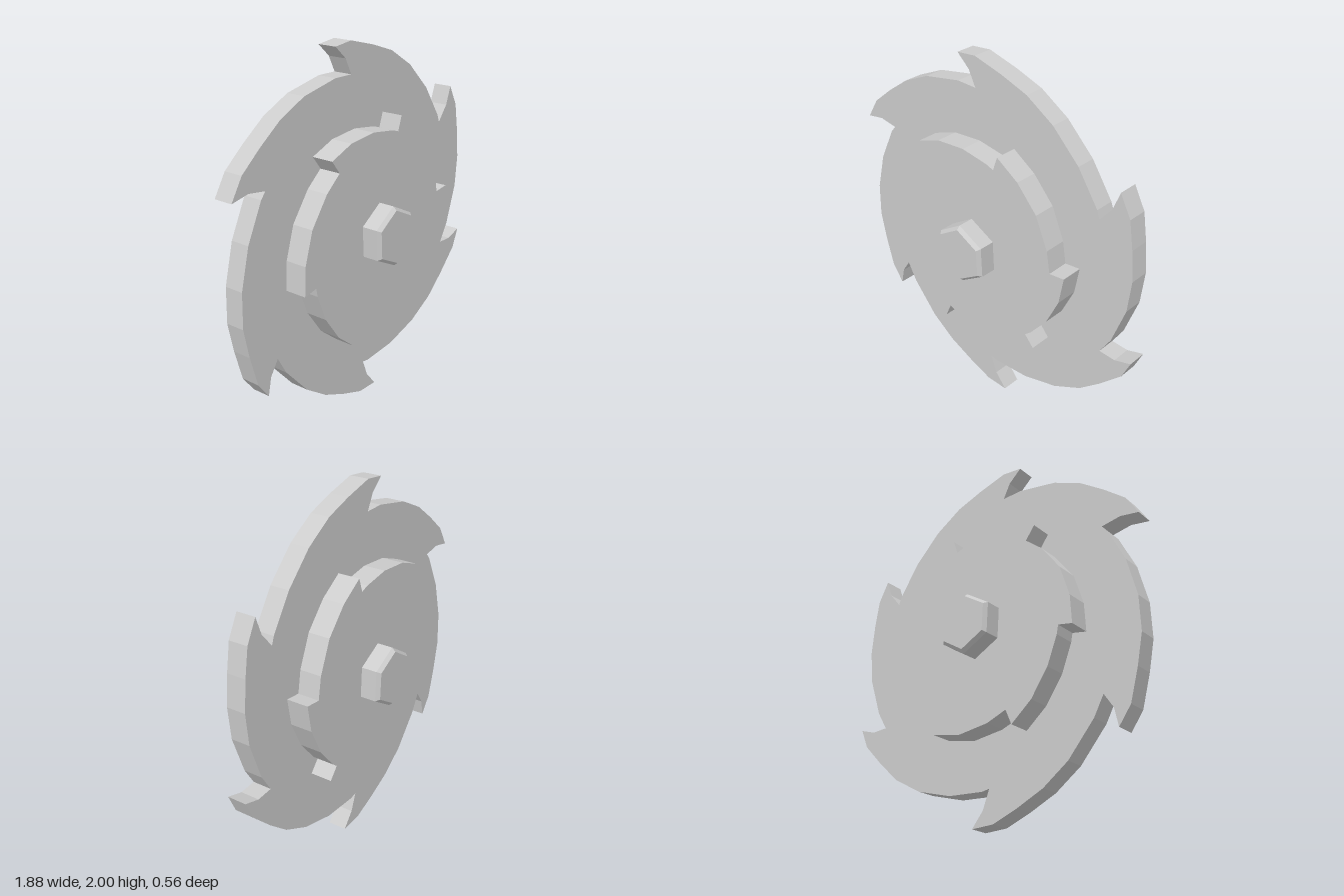
import * as THREE from 'three';

// One third of the blade outline: two hooked teeth, running clockwise
const BLADE = [
  [-0.207, 0.982], [-0.09, 0.995], [0.085, 0.95], [0.244, 0.897], [0.408, 0.797],
  [0.567, 0.643], [0.689, 0.463], [0.705, 0.42], [0.774, 0.505],
  [0.811, 0.606], [0.874, 0.489], [0.9, 0.335], [0.917, 0.166], [0.9, -0.015],
  [0.825, -0.235], [0.763, -0.338], [0.858, -0.343],
];

// One third of the hub outline: two shallow ratchet steps
const HUB = [
  [0.17, 0.59], [0.302, 0.505], [0.424, 0.373], [0.498, 0.203], [0.519, 0.081],
  [0.609, 0.092], [0.583, -0.062], [0.509, -0.221], [0.408, -0.348], [0.371, -0.38],
];

// Repeats a sector clockwise around the axle to close the outline
function repeatAround(sector, count) {
  const centre = new THREE.Vector2();
  const points = [];
  for (let i = 0; i < count; i++) {
    for (const [x, y] of sector) {
      points.push(new THREE.Vector2(x, y).rotateAround(centre, -i * 2 * Math.PI / count));
    }
  }
  return new THREE.Shape(points);
}

// Plate centred on z = 0, with an optional chamfer inside its outline
function plate(name, shape, thickness, chamfer = 0) {
  const geometry = new THREE.ExtrudeGeometry(shape, {
    depth: thickness - 2 * chamfer,
    bevelEnabled: chamfer > 0,
    bevelSegments: 1,
    bevelThickness: chamfer,
    bevelSize: chamfer * 0.8,
    bevelOffset: -chamfer * 0.8,
  });
  geometry.translate(0, 0, -thickness / 2 + chamfer);
  const material = new THREE.MeshStandardMaterial({ color: 0xcccccc, flatShading: true });
  const mesh = new THREE.Mesh(geometry, material);
  mesh.name = name;
  return mesh;
}

export function createModel() {
  const model = new THREE.Group();
  model.name = 'sawBlade';

  const wheel = new THREE.Group();
  wheel.name = 'wheel';
  wheel.position.set(-0.016, 1.005, 0);
  model.add(wheel);

  // Thin toothed blade and the thicker stepped hub through it
  wheel.add(plate('blade', repeatAround(BLADE, 3), 0.106));
  wheel.add(plate('hub', repeatAround(HUB, 3), 0.348));

  // Hexagonal axle with chamfered ends, turned slightly
  const corner = THREE.MathUtils.degToRad(93);
  const hexagon = repeatAround([[0.167 * Math.cos(corner), 0.167 * Math.sin(corner)]], 6);
  wheel.add(plate('axle', hexagon, 0.562, 0.02));

  return model;
}
